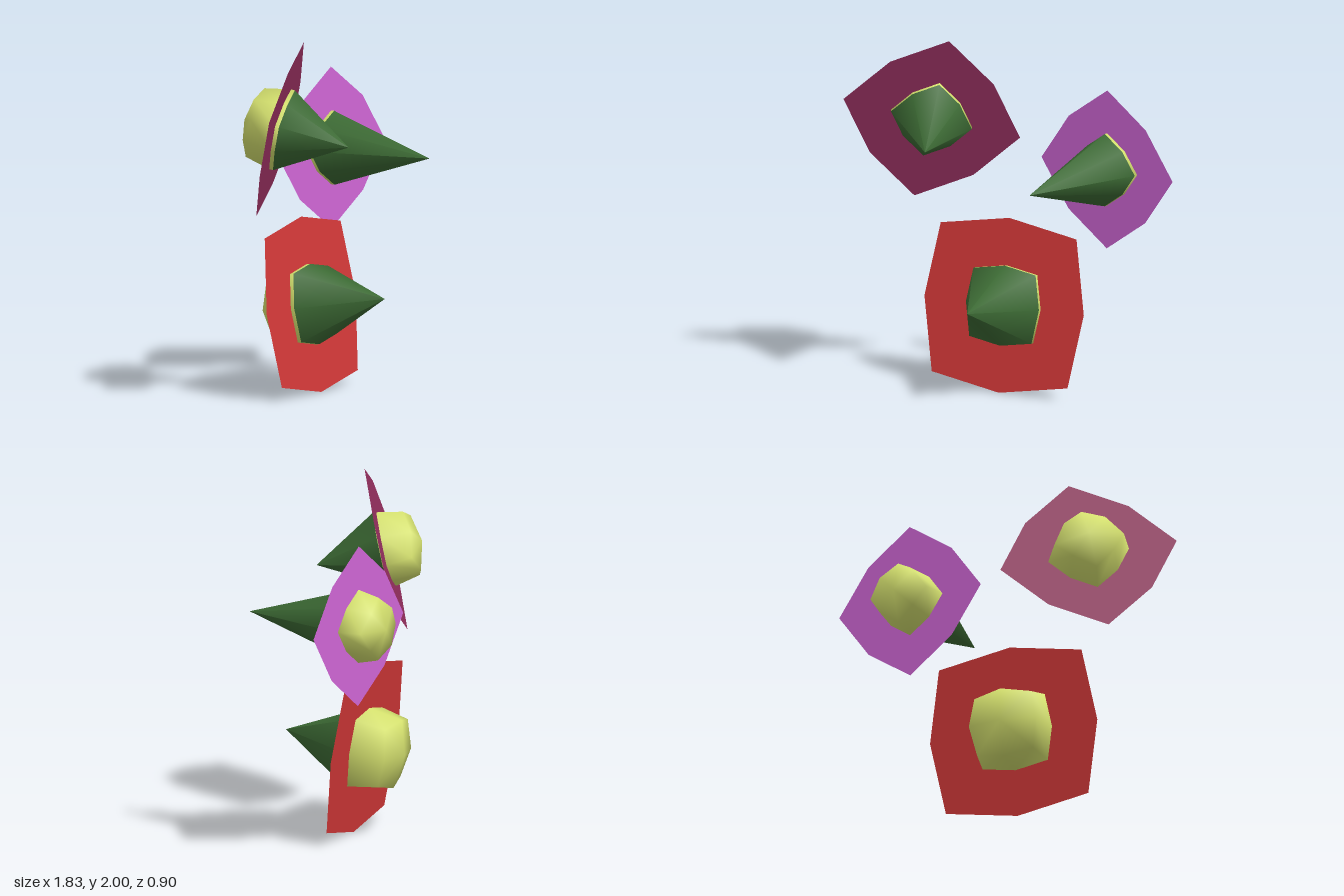
import * as THREE from 'three';

const material = (name, color, side = THREE.FrontSide) => {
  const m = new THREE.MeshStandardMaterial({ color, side });
  m.name = name;
  return m;
};

// Lofts eight-sided rings, ordered back to front.
// Each ring: [corner radius, mid-side radius, corner z, mid-side z]
function loft(rings) {
  const pos = [], index = [];
  for (const [rc, rm, zc, zm] of rings) {
    for (let i = 0; i < 8; i++) {
      const a = (i * Math.PI) / 4, mid = i % 2;
      const r = mid ? rm : rc;
      pos.push(r * Math.cos(a), r * Math.sin(a), mid ? zm : zc);
    }
  }
  // a ring of zero radius shares a single vertex
  const id = (k, i) => k * 8 + (rings[k][0] === 0 ? 0 : i % 8);
  for (let k = 0; k < rings.length - 1; k++) {
    for (let i = 0; i < 8; i++) {
      const a = id(k, i), b = id(k, i + 1), c = id(k + 1, i + 1), d = id(k + 1, i);
      if (a !== b) index.push(a, b, c);
      if (c !== d) index.push(a, c, d);
    }
  }
  const g = new THREE.BufferGeometry();
  g.setAttribute('position', new THREE.Float32BufferAttribute(pos, 3));
  g.setIndex(index);
  g.computeVertexNormals();
  return g;
}

const MID = 0.83; // mid-side radius relative to corner radius
const BODY = 0.458; // body radius relative to petal radius

export function createModel() {
  const model = new THREE.Group();
  const green = material('stem green', 0x3c6a34);
  const yellow = material('pollen yellow', 0xd4e06e);

  // centre, two perpendicular petal corners, spike length
  const flowers = [
    { name: 'redFlower', color: 0xd23838, centre: [-0.065, 0.49, -0.035],
      right: [0.42, -0.415, 0.02], up: [0.42, 0.415, -0.092], spike: 0.475 },
    { name: 'maroonFlower', color: 0x942f5e, centre: [-0.4825, 1.525, 0.0475],
      right: [0.4325, -0.105, -0.23], up: [0.148, 0.475, 0.0575], spike: 0.396 },
    { name: 'purpleFlower', color: 0xd066d6, centre: [0.46, 1.288, -0.268],
      right: [0.45, 0, 0.047], up: [0, 0.453, -0.003], spike: 0.72 },
  ];

  for (const f of flowers) {
    const x = new THREE.Vector3(...f.right), R = x.length();
    x.normalize();
    const z = x.clone().cross(new THREE.Vector3(...f.up)).normalize();
    const y = z.clone().cross(x);
    const flower = new THREE.Group();
    flower.name = f.name;
    flower.quaternion.setFromRotationMatrix(new THREE.Matrix4().makeBasis(x, y, z));
    flower.position.set(...f.centre);

    const add = (name, geometry, mat) => {
      const mesh = new THREE.Mesh(geometry, mat);
      mesh.name = name;
      flower.add(mesh);
    };

    // flat rounded-square petal
    const outline = [];
    for (let i = 0; i < 8; i++) {
      const r = i % 2 ? R * MID : R, a = (i * Math.PI) / 4;
      outline.push(new THREE.Vector2(r * Math.cos(a), r * Math.sin(a)));
    }
    add('petal', new THREE.ShapeGeometry(new THREE.Shape(outline)),
      material(f.name + ' petal', f.color, THREE.DoubleSide));

    // rounded dome behind, with a thin rim showing in front of the petal
    const r = R * BODY, rim = 0.022;
    add('dome', loft([
      [0, 0, -0.9 * r, -0.9 * r],
      [0.86 * r, 0.72 * r, -0.63 * r, -0.74 * r],
      [r, MID * r, 0, 0],
      [r, MID * r, rim, rim],
    ]), yellow);

    // pointed cone in front
    add('spike', loft([
      [r, MID * r, rim, rim],
      [0.0005, 0.0005, f.spike, f.spike],
    ]), green);

    model.add(flower);
  }
  return model;
}
